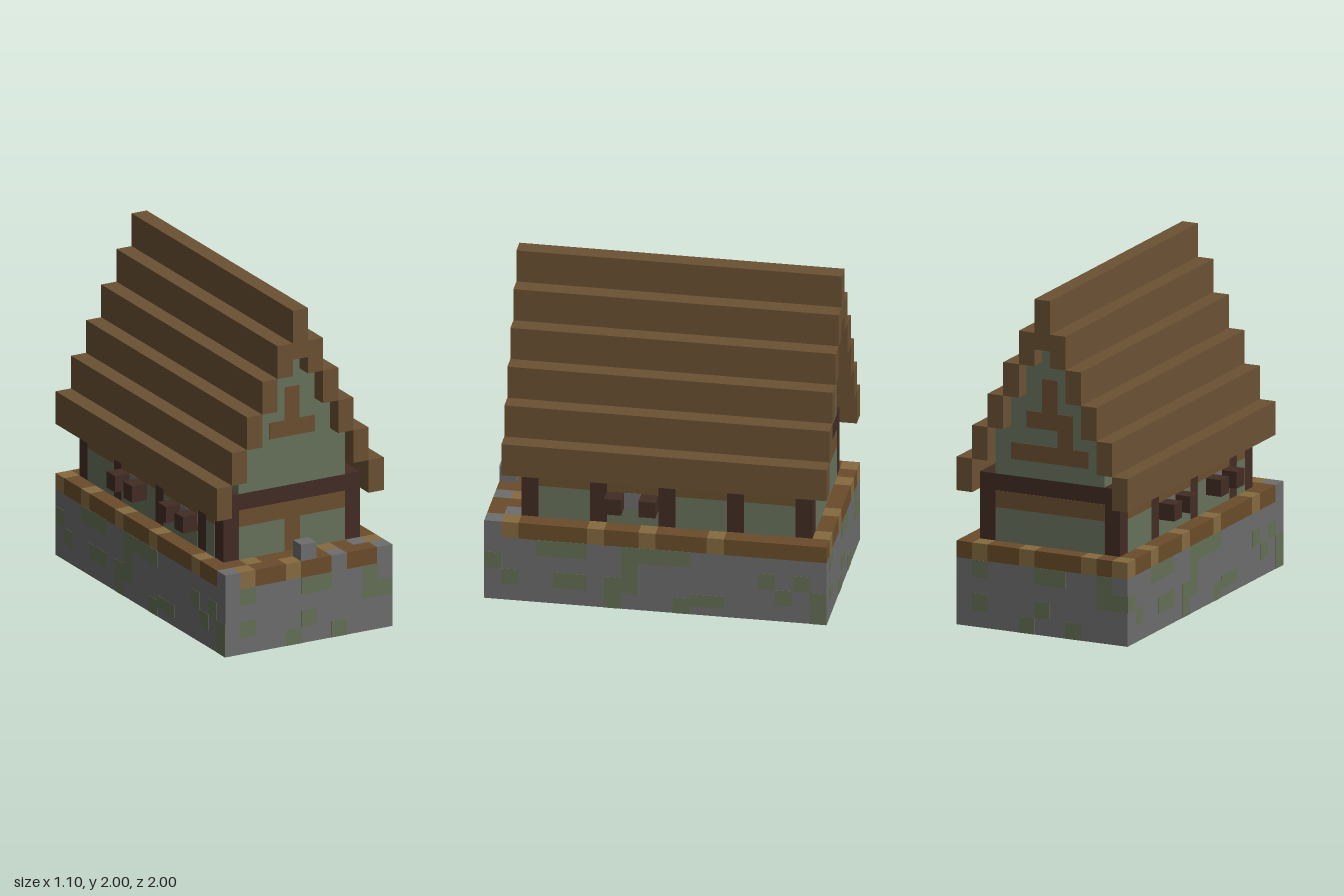
import * as THREE from 'three';

const mat = (name, color) => {
  const m = new THREE.MeshStandardMaterial({ color });
  m.name = name;
  return m;
};

export function createModel() {
  const roofWood = mat('roof wood', 0x6b5133);
  const wallWood = mat('wall wood', 0x6b4f2f);
  const trimWood = mat('trim wood', 0x6a4c2a);
  const tan = mat('pale wood', 0x856a40);
  const timber = mat('dark timber', 0x422c24);
  const plaster = mat('green plaster', 0x67715b);
  const stone = mat('stone', 0x6d6d6d);
  const moss = mat('moss', 0x646f55);

  const house = new THREE.Group();
  house.name = 'house';
  const group = (name) => {
    const g = new THREE.Group();
    g.name = name;
    house.add(g);
    return g;
  };
  const box = (parent, name, m, x0, x1, y0, y1, z0, z1) => {
    const mesh = new THREE.Mesh(new THREE.BoxGeometry(x1 - x0, y1 - y0, z1 - z0), m);
    mesh.position.set((x0 + x1) / 2, (y0 + y1) / 2, (z0 + z1) / 2);
    mesh.name = name;
    parent.add(mesh);
  };
  // Thin painted plate on a plane: axis 'x' spans z, axis 'z' spans x
  const plate = (parent, name, m, axis, at, u0, u1, y0, y1, t = 0.003) => {
    const s = Math.sign(at);
    const a = Math.min(at, at + s * t), b = Math.max(at, at + s * t);
    if (axis === 'x') box(parent, name, m, a, b, y0, y1, u0, u1);
    else box(parent, name, m, u0, u1, y0, y1, a, b);
  };

  // Stone foundation with a wooden floor underneath
  const base = group('foundation');
  box(base, 'stoneBase', stone, -0.55, 0.55, 0, 0.4, -1, 1);
  box(base, 'floor', roofWood, -0.45, 0.45, -0.002, 0.002, -0.9, 0.9);
  box(base, 'frontPost', stone, -0.05, 0.05, 0.5, 0.6, 0.9, 1);

  // Moss patches: [u0, u1, y0, y1]
  const endMoss = [
    [-0.45, -0.35, 0.3, 0.4], [-0.05, 0.15, 0.3, 0.4], [0.35, 0.45, 0.2, 0.4], [0.45, 0.55, 0.2, 0.3],
    [-0.45, -0.35, 0.1, 0.2], [-0.05, 0.05, 0.1, 0.2], [-0.15, -0.05, 0, 0.1], [0.15, 0.25, 0, 0.1],
  ];
  const sideMoss = [
    [0.4, 0.7, 0.3, 0.4], [-0.2, 0.2, 0.3, 0.4], [0.1, 0.2, 0.1, 0.3], [0.2, 0.3, 0.1, 0.2],
    [0.9, 1, 0.2, 0.3], [0.8, 0.9, 0.1, 0.2], [0.4, 0.6, 0.1, 0.2], [0.2, 0.3, 0, 0.1],
    [-0.2, -0.1, 0, 0.1], [-0.4, -0.2, 0.05, 0.13], [-0.7, -0.6, 0.2, 0.3], [-0.8, -0.7, 0.1, 0.2],
    [-0.9, -0.8, 0.2, 0.3], [-1, -0.9, 0.1, 0.2], [-1, -0.9, 0, 0.1],
  ];
  for (const s of [1, -1]) {
    for (const [a, b, y0, y1] of endMoss)
      plate(base, 'mossPatch', moss, 'z', s, Math.min(s * a, s * b), Math.max(s * a, s * b), y0, y1, 0.002);
    for (const [a, b, y0, y1] of sideMoss)
      plate(base, 'mossPatch', moss, 'x', s * 0.55, Math.min(s * a, s * b), Math.max(s * a, s * b), y0, y1, 0.002);
  }

  // Ledge ring of single blocks: B wood, T pale wood, G stone
  const ledge = group('ledge');
  const kinds = { B: trimWood, T: tan, G: stone };
  const row = (cells, x, z, dx, dz) => [...cells].forEach((c, i) => {
    const cx = x + dx * i * 0.1, cz = z + dz * i * 0.1;
    box(ledge, 'ledgeBlock', kinds[c], cx - 0.05, cx + 0.05, 0.4, 0.5, cz - 0.05, cz + 0.05);
  });
  row('GTBBTBBGBBG', -0.5, 0.95, 1, 0);
  row('BTBBBBTBG', -0.4, 0.85, 1, 0);
  row('TBBBBTBBTBBBTBBBBBB', 0.5, 0.85, 0, -1);
  row('BBTBBBBTBBBTBBBTBBT', -0.5, 0.85, 0, -1);
  row('BTBBBTBBT', -0.4, -0.95, 1, 0);

  // Timber-framed walls
  const walls = group('walls');
  box(walls, 'timberFrame', timber, -0.45, 0.45, 0.4, 0.9, -0.9, 0.8);
  for (const at of [0.8, -0.9]) {
    plate(walls, 'endRail', wallWood, 'z', at, -0.35, 0.35, 0.7, 0.8);
    plate(walls, 'endPanel', plaster, 'z', at, -0.35, 0.35, 0.5, 0.7);
  }
  plate(walls, 'frontStud', wallWood, 'z', 0.8, -0.05, 0.05, 0.5, 0.7, 0.005);

  // Side panels between posts, shuttered windows
  const sides = [
    { s: 1, posts: [-0.85, -0.45, -0.05, 0.35, 0.75], windows: [0.15] },
    { s: -1, posts: [-0.85, -0.45, 0.05, 0.55, 0.75], windows: [-0.25, 0.35] },
  ];
  for (const { s, posts, windows } of sides) {
    for (let i = 0; i < posts.length - 1; i++) {
      const a = posts[i] + 0.05, b = posts[i + 1] - 0.05;
      plate(walls, 'sideRail', wallWood, 'x', s * 0.45, a, b, 0.7, 0.8);
      plate(walls, 'sidePanel', plaster, 'x', s * 0.45, a, b, 0.5, 0.7);
    }
    for (const z of windows) {
      plate(walls, 'window', stone, 'x', s * 0.45, z - 0.05, z + 0.05, 0.6, 0.7, 0.006);
      for (const d of [-0.1, 0.1])
        box(walls, 'shutter', timber, Math.min(s * 0.45, s * 0.55), Math.max(s * 0.45, s * 0.55),
          0.6, 0.7, z + d - 0.05, z + d + 0.05);
    }
  }

  // Stepped gable and its wooden decoration
  const gable = group('gable');
  [[0.35, 0.9, 1.2], [0.25, 1.2, 1.4], [0.15, 1.4, 1.6], [0.05, 1.6, 1.7]].forEach(([w, y0, y1]) =>
    box(gable, 'gableTier', plaster, -w, w, y0, y1, -0.9, 0.8));
  for (const at of [0.8, -0.9]) {
    plate(gable, 'gableBar', wallWood, 'z', at, -0.15, 0.15, 1.2, 1.3);
    plate(gable, 'gableStud', wallWood, 'z', at, -0.05, 0.05, 1.3, 1.5);
  }
  plate(gable, 'backLowerBar', wallWood, 'z', -0.9, -0.25, 0.25, 1.0, 1.1);
  plate(gable, 'backConnector', wallWood, 'z', -0.9, -0.15, -0.05, 1.1, 1.2);

  // Roof of stepped beams, mirrored about the ridge
  const roof = group('roof');
  for (let i = 0; i < 5; i++) {
    const x = 0.5 - i * 0.1, y = 0.8 + i * 0.2;
    for (const s of [1, -1])
      box(roof, 'roofBeam', roofWood, s * x - 0.05, s * x + 0.05, y, y + 0.2, -1, 0.9);
  }
  box(roof, 'ridgeBeam', roofWood, -0.05, 0.05, 1.7, 2, -1, 0.9);
  return house;
}
